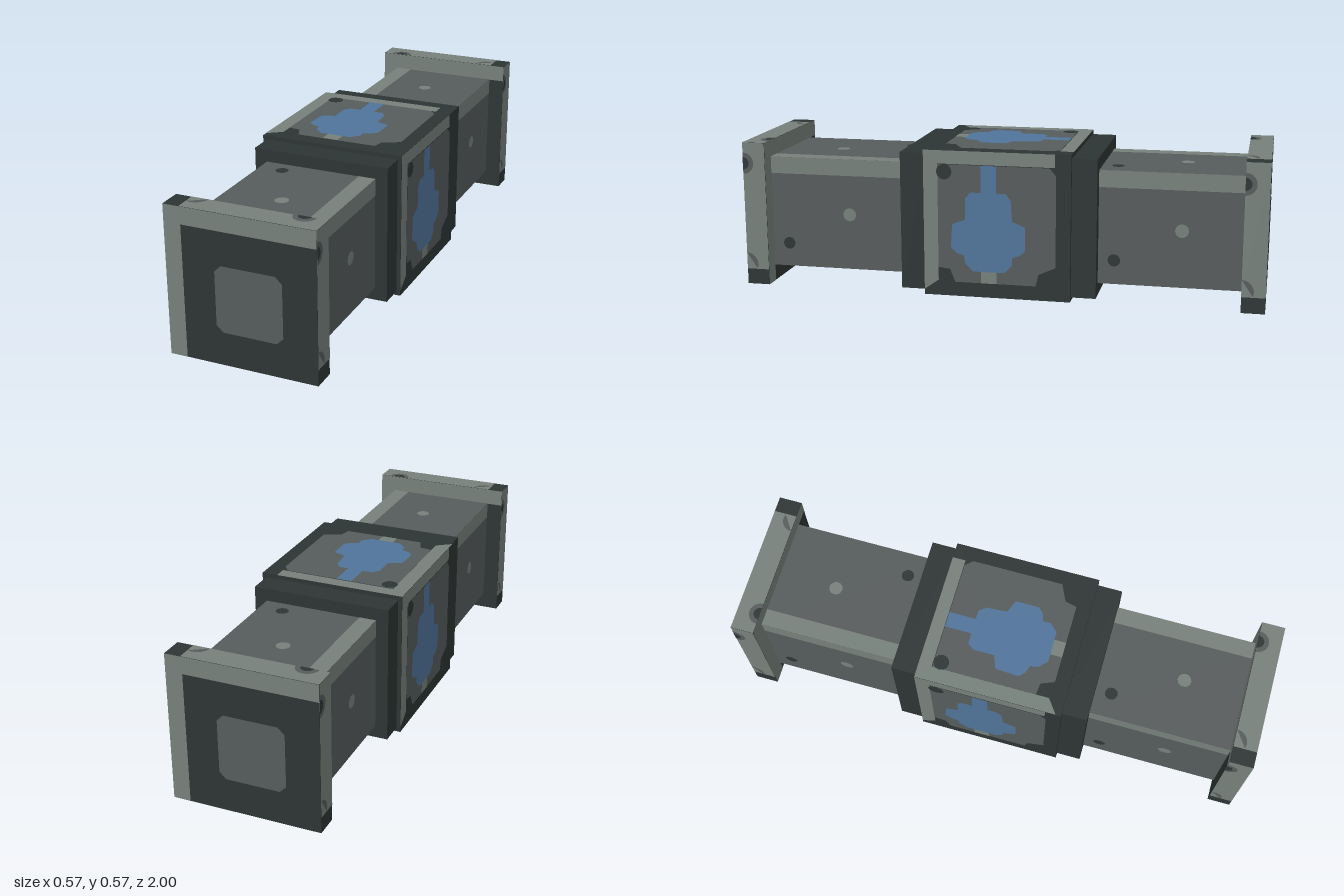
import * as THREE from 'three';

const mat = (name, color) => {
  const m = new THREE.MeshStandardMaterial({ color });
  m.name = name;
  return m;
};

export function createModel() {
  const dark = mat('dark iron', 0x2d3534);
  const mid = mat('grey steel', 0x565b5b);
  const light = mat('pale steel', 0x76807a);
  const blue = mat('blue inlay', 0x50749a);
  const S = 0.2805; // half size of core and flanges
  const R = Math.PI / 2;

  const box = (parent, name, m, w, h, d, x = 0) => {
    const b = new THREE.Mesh(new THREE.BoxGeometry(w, h, d), m);
    b.name = name;
    b.position.x = x;
    parent.add(b);
  };
  // Thin painted face on a panel: x is right, y is up, layer raises it
  const plate = (panel, name, m, pts, layer = 1) => {
    const shape = new THREE.Shape(pts.map(([x, y]) => new THREE.Vector2(x, y)));
    const p = new THREE.Mesh(new THREE.ShapeGeometry(shape), m);
    p.name = name;
    p.position.z = layer * 0.0008;
    panel.add(p);
  };
  const rect = (x0, y0, x1, y1, c = 0) => c
    ? [[x0 + c, y0], [x1 - c, y0], [x1, y0 + c], [x1, y1 - c], [x1 - c, y1], [x0 + c, y1], [x0, y1 - c], [x0, y0 + c]]
    : [[x0, y0], [x1, y0], [x1, y1], [x0, y1]];
  const disc = (x, y, r, from = 0, to = Math.PI * 2) => Array.from({ length: 12 }, (_, i) => {
    const a = from + (to - from) * i / (to - from > 6 ? 12 : 11);
    return [x + r * Math.cos(a), y + r * Math.sin(a)];
  });
  const panelAt = (parent, name, rx, ry, dist, x = 0) => {
    const g = new THREE.Group();
    g.name = name;
    g.rotation.set(rx, ry, 0);
    g.position.set(0, 0, dist).applyEuler(g.rotation);
    g.position.x += x;
    parent.add(g);
    return g;
  };
  // Pale L-shaped border along the left and top
  const border = (p, inner) => plate(p, 'paleBorder', light,
    [[-S, -S], [-inner, -S], [-inner, inner], [S, inner], [S, S], [-S, S]]);

  const model = new THREE.Group();
  model.name = 'shaftCoupling';
  const body = new THREE.Group();
  body.name = 'body';
  body.position.y = 0.2825;
  model.add(body);

  // Central block with an inlaid panel on each of its four long sides
  box(body, 'coreBlock', dark, 2 * S, 2 * S, 2 * S);
  for (const [name, rx, ry] of [['leftPanel', 0, R], ['rightPanel', 0, -R], ['topPanel', -R, 0], ['bottomPanel', R, 0]]) {
    const p = panelAt(body, name, rx, ry, S);
    plate(p, 'paleBorder', light,
      [[-S, -0.26], [-0.225, -0.22], [-0.225, 0.23], [0.22, 0.23], [0.22, S], [-S, S]]);
    plate(p, 'steelPanel', mid,
      [[-0.225, -0.17], [-0.18, -0.175], [-0.16, -0.225], [0.15, -0.225], [0.16, -0.18], [0.225, -0.15],
        [0.225, 0.2], [0.2, 0.228], [-0.225, 0.228]], 2);
    plate(p, 'cornerRivet', dark, disc(-0.2, 0.2, 0.03), 3);
    plate(p, 'paleNotch', light, rect(-0.06, -0.225, 0, -0.17), 3);
    plate(p, 'blueInlay', blue, [
      [-0.06, 0.228], [-0.06, 0.125], [-0.1, 0.125], [-0.12, 0.1], [-0.12, 0.02], [-0.17, 0], [-0.175, -0.09],
      [-0.155, -0.11], [-0.125, -0.12], [-0.12, -0.15], [-0.09, -0.18], [0.03, -0.18], [0.06, -0.15], [0.06, -0.12],
      [0.09, -0.11], [0.11, -0.09], [0.11, 0], [0.06, 0.02], [0.055, 0.1], [0.035, 0.125], [0, 0.125], [0, 0.228],
    ].reverse(), 4);
  }

  // Each arm runs along its own +x: collar, shaft and end flange
  for (const [name, turn] of [['frontArm', -R], ['rearArm', R]]) {
    const arm = new THREE.Group();
    arm.name = name;
    arm.rotation.y = turn;
    body.add(arm);
    box(arm, 'collar', dark, 0.105, 0.53, 0.53, 0.3225);
    box(arm, 'shaft', mid, 0.55, 0.434, 0.434, 0.645);
    box(arm, 'endFlange', dark, 0.088, 2 * S, 2 * S, 0.954);

    for (const [side, rx, ry] of [['nearSide', 0, 0], ['farSide', 0, Math.PI], ['topSide', -R, 0], ['bottomSide', R, 0]]) {
      // Shaft side: pale edge band and two rivets
      const s = panelAt(arm, side + 'Shaft', rx, ry, 0.217, 0.64);
      plate(s, 'paleBand', light, rect(-0.27, 0.153, 0.27, 0.2175));
      plate(s, 'paleRivet', light, disc(0.045, 0, 0.026));
      plate(s, 'darkRivet', dark, disc(-0.205, -0.125, 0.024));
      // Flange rim: pale with worn spots on one edge
      const f = panelAt(arm, side + 'Rim', rx, ry, S, 0.954);
      plate(f, 'paleRim', light, rect(-0.044, -0.22, 0.044, S));
      plate(f, 'upperWear', mid, disc(-0.044, 0.2, 0.042, -R, R), 2);
      plate(f, 'upperSpot', dark, disc(-0.044, 0.2, 0.024, -R, R), 3);
      plate(f, 'lowerWear', mid, disc(-0.044, -0.2, 0.045, -R / 4, R), 2);
    }

    // Flange faces
    const outer = panelAt(arm, 'outerFace', 0, R, 0.998);
    border(outer, 0.216);
    plate(outer, 'steelSquare', mid, rect(-0.095, -0.155, 0.155, 0.092, 0.024), 2);
    border(panelAt(arm, 'innerFace', 0, -R, -0.91), 0.216);
  }
  return model;
}
